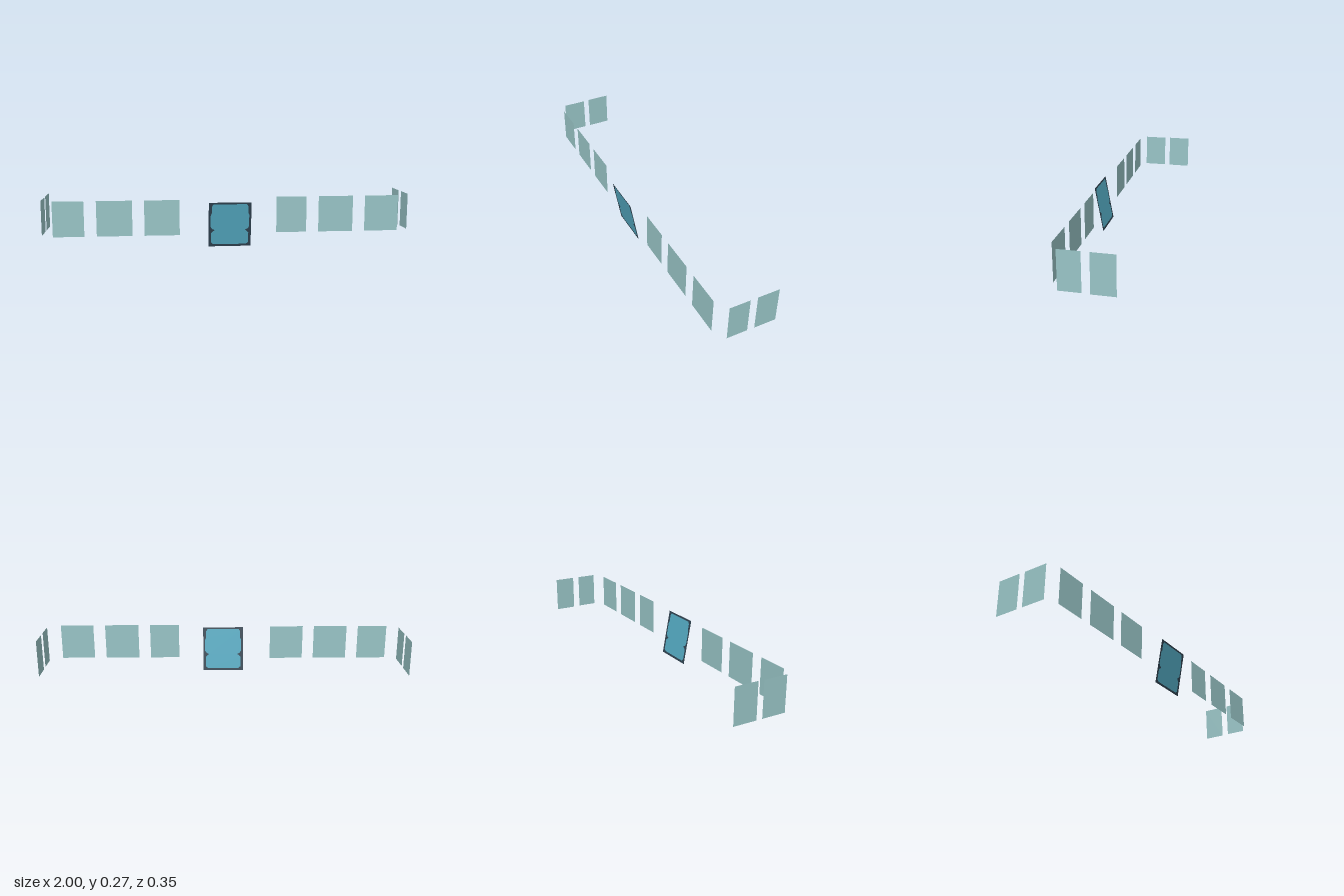
import * as THREE from 'three';

const flat = (name, color) => {
  const m = new THREE.MeshStandardMaterial({ color, side: THREE.DoubleSide });
  m.name = name;
  return m;
};

export function createModel() {
  const model = new THREE.Group();
  model.name = 'windowSet';
  const paleGlass = flat('pale glass', 0x98c4c6);
  const blueGlass = flat('blue glass', 0x54aac2);
  const darkFrame = flat('dark frame', 0x2f4250);

  // Flat pane spanning a0..a1 sideways and y0..y1 upwards
  const pane = (name, a0, a1, y0, y1) => {
    const mesh = new THREE.Mesh(new THREE.PlaneGeometry(Math.abs(a1 - a0), y1 - y0), paleGlass);
    mesh.name = name;
    mesh.position.y = (y0 + y1) / 2;
    model.add(mesh);
    return mesh;
  };

  // Front row: three panes on each side of the middle
  const frontPanes = [
    [-0.938, -0.773, 0.068, 0.259], [-0.708, -0.519, 0.068, 0.259], [-0.455, -0.267, 0.068, 0.259],
    [0.257, 0.422, 0.075, 0.27], [0.489, 0.679, 0.075, 0.27], [0.746, 0.931, 0.075, 0.27],
  ];
  for (const [x0, x1, y0, y1] of frontPanes) {
    const p = pane('frontPane', x0, x1, y0, y1);
    p.position.x = (x0 + x1) / 2;
    p.position.z = 0.145;
  }

  // Side panes: two at each end
  const sidePanes = [
    [1, 0.104, -0.007, 0.073, 0.271], [1, -0.046, -0.164, 0.071, 0.271],
    [-1, 0.113, -0.016, 0.07, 0.259], [-1, -0.048, -0.175, 0.07, 0.261],
  ];
  for (const [side, z0, z1, y0, y1] of sidePanes) {
    const p = pane(side > 0 ? 'leftSidePane' : 'rightSidePane', z0, z1, y0, y1);
    p.rotation.y = side * Math.PI / 2;
    p.position.x = side;
    p.position.z = (z0 + z1) / 2;
  }

  // Middle pane: blue glass set in a dark frame, leaning forward
  const W = 0.115, H = 0.25;
  const half = [
    [0.088, 0.012], [0.101, 0.022], [0.101, 0.078], [0.093, 0.086], [0.082, 0.094],
    [0.094, 0.1], [0.104, 0.112], [0.104, 0.18], [0.098, 0.19], [0.098, 0.228], [0.09, 0.24],
  ];
  const outline = [
    ...half.map(([x, y]) => new THREE.Vector2(x, y)),
    ...half.slice().reverse().map(([x, y]) => new THREE.Vector2(-x, y)),
  ];
  const border = new THREE.Shape([
    new THREE.Vector2(-W, 0), new THREE.Vector2(W, 0),
    new THREE.Vector2(W, H), new THREE.Vector2(-W, H),
  ]);
  border.holes.push(new THREE.Path(outline));

  const middle = new THREE.Group();
  middle.name = 'middleWindow';
  const frame = new THREE.Mesh(new THREE.ShapeGeometry(border), darkFrame);
  frame.name = 'middleFrame';
  const glass = new THREE.Mesh(new THREE.ShapeGeometry(new THREE.Shape(outline)), blueGlass);
  glass.name = 'middleGlass';
  middle.add(frame, glass);
  middle.position.set(0.003, 0, 0.13);
  middle.rotation.x = Math.atan2(0.045, 0.246);
  model.add(middle);

  return model;
}
